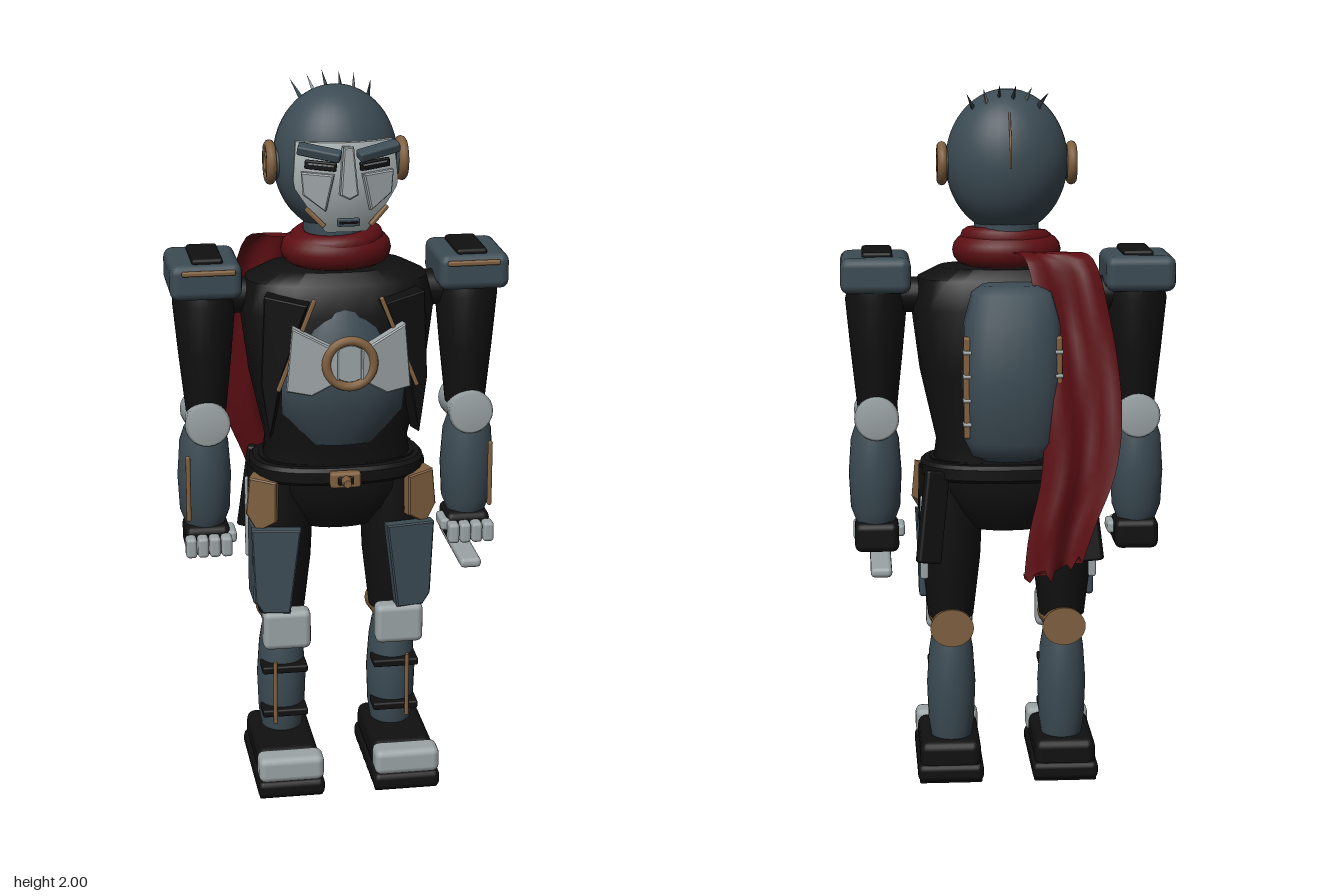
import * as THREE from 'three';
import { toCreasedNormals } from 'three/addons/utils/BufferGeometryUtils.js';
import { RoundedBoxGeometry } from 'three/addons/geometries/RoundedBoxGeometry.js';

const material = (name, color, side = THREE.FrontSide) => {
  const m = new THREE.MeshStandardMaterial({ color, side });
  m.name = name;
  return m;
};

export function createModel() {
  const steel = material('slate steel', 0x3c4b54);
  const black = material('black cloth', 0x101011);
  const pale = material('pale metal', 0x9ca4a6);
  const bronze = material('bronze', 0x80603f);
  const red = material('dark red cloth', 0x5c0e13, THREE.DoubleSide);
  const root = new THREE.Group();
  root.name = 'armouredFigure';

  const add = (name, geo, mat, [x, y, z], rot = [0, 0, 0], parent = root) => {
    const m = new THREE.Mesh(geo, mat);
    m.name = name;
    m.position.set(x, y, z);
    m.rotation.set(...rot);
    parent.add(m);
    return m;
  };
  const box = (w, h, d, r = 0.01) => new RoundedBoxGeometry(w, h, d, 2, r);
  const cyl = (r1, r2, h, seg = 20) => new THREE.CylinderGeometry(r1, r2, h, seg);
  const plate = (pts, depth) => new THREE.ExtrudeGeometry(
    new THREE.Shape(pts.map((p) => new THREE.Vector2(...p))),
    { depth, bevelEnabled: true, bevelThickness: 0.004, bevelSize: 0.004, bevelSegments: 1 });

  // Stacked cross-sections, listed from the top: [y, halfWidth, z centre, halfDepth]
  const loft = (rows, power = 1, seg = 28) => {
    const g = new THREE.CylinderGeometry(1, 1, 1, seg, rows.length - 1);
    const p = g.attributes.position;
    const soft = (v) => Math.sign(v) * Math.abs(v) ** power;
    for (let i = 0; i < p.count; i++) {
      const [y, rx, cz, rz] = rows[Math.round((0.5 - p.getY(i)) * (rows.length - 1))];
      p.setXYZ(i, soft(p.getX(i)) * rx, y, cz + soft(p.getZ(i)) * rz);
    }
    return toCreasedNormals(g, 0.7);
  };

  // Head
  const skull = new THREE.SphereGeometry(1, 32, 24, 0, Math.PI * 2, 0, 2.75).scale(0.17, 0.2, 0.155);
  add('head', skull, steel, [0, 1.78, 0.025]);
  add('neck', cyl(0.09, 0.09, 0.16), steel, [0, 1.55, 0.03]);
  add('headSeam', new THREE.TorusGeometry(0.166, 0.003, 6, 24, 1), bronze, [0, 1.79, 0.02], [0, Math.PI / 2, -0.1]);
  // Crest of small swept blades
  for (let i = 0; i < 6; i++) {
    const x = -0.09 + i * 0.038;
    const blade = new THREE.ConeGeometry(0.02, 0.13, 4).scale(0.5, 1, 1);
    add('crestBlade', blade, i % 3 === 1 ? pale : steel,
      [x, 1.965 - x * x * 2.5, -0.05 + (i % 2) * 0.015], [-1.05, 0, 0.25 - i * 0.1]);
  }

  // Floating face mask: a bowed slab narrowing to the chin
  const mask = new THREE.BoxGeometry(1, 1, 0.016, 12, 12, 1);
  const mp = mask.attributes.position;
  for (let i = 0; i < mp.count; i++) {
    const v = mp.getY(i) + 0.5;
    const x = mp.getX(i) * 2 * (0.055 + 0.09 * Math.min(1, v * 1.9) - 0.015 * v * v);
    mp.setXYZ(i, x, 1.62 + v * 0.24, 0.237 + mp.getZ(i) - x * x * 2 - (v - 0.5) ** 2 * 0.12);
  }
  add('faceMask', toCreasedNormals(mask, 0.7), pale, [0, 0, 0]);
  add('nose', plate([[-0.01, 0.13], [0.01, 0.13], [0.02, 0.01], [0, 0], [-0.02, 0.01]], 0.03), pale, [0, 1.72, 0.24], [-0.12, 0, 0]);
  add('mouth', box(0.06, 0.022, 0.012, 0.004), steel, [0, 1.655, 0.25]);
  add('mouthSlit', new THREE.BoxGeometry(0.05, 0.005, 0.006), black, [0, 1.655, 0.257]);

  // Everything that repeats on both sides
  for (const s of [1, -1]) {
    const side = new THREE.Group();
    side.name = s > 0 ? 'leftSide' : 'rightSide';
    root.add(side);
    const put = (name, geo, mat, [x, y, z], [rx, ry, rz] = [0, 0, 0]) =>
      add(name, geo, mat, [x * s, y, z], [rx, ry * s, rz * s], side);
    const mirrored = (pts) => pts.map(([x, y]) => [x * s, y]);

    // Face
    put('brow', box(0.115, 0.026, 0.035, 0.006), steel, [0.078, 1.845, 0.255], [0.3, 0.3, 0.1]);
    put('eye', box(0.085, 0.024, 0.012, 0.004), black, [0.072, 1.806, 0.237], [0, 0.28, 0.08]);
    put('eyeLid', box(0.07, 0.005, 0.008, 0.002), pale, [0.072, 1.809, 0.243], [0, 0.28, 0.08]);
    put('cheekPlate', plate(mirrored([[-0.04, 0.04], [0.04, 0.045], [0.035, -0.01], [-0.02, -0.05]]), 0.012), pale, [0.078, 1.74, 0.232], [0, 0.3, 0]);
    put('jawStrip', box(0.07, 0.012, 0.014, 0.004), bronze, [0.085, 1.665, 0.225], [0, 0.35, 0.75]);

    // Ear disc
    const turn = [0, Math.PI / 2, 0];
    put('earRing', new THREE.TorusGeometry(0.047, 0.014, 10, 24), bronze, [0.18, 1.775, 0.03], turn);
    put('earDisc', cyl(0.045, 0.05, 0.045), steel, [0.165, 1.775, 0.03], [0, 0, -Math.PI / 2]);
    put('earHub', new THREE.TorusGeometry(0.024, 0.006, 8, 20), bronze, [0.188, 1.775, 0.03], turn);

    // Chest plates, lapels and straps
    put('chestPlate', plate(mirrored([[0.05, 1.31], [0.17, 1.37], [0.185, 1.2], [0.12, 1.19], [0.05, 1.23]]), 0.025), pale, [-0.02, 0, 0.275], [0, 0.22, 0]);
    put('lapel', plate(mirrored([[0.1, 1.42], [0.21, 1.44], [0.22, 1.2], [0.2, 1.05], [0.17, 1.22]]), 0.05), black, [0, 0, 0.205], [0, 0.3, 0]);
    put('chestStrap', box(0.012, 0.27, 0.012, 0.004), bronze, [0.14, 1.32, 0.245], [0, 0, 0.38]);

    // Arm
    put('shoulderPad', box(0.195, 0.1, 0.24, 0.025), steel, [0.367, 1.475, 0.03]);
    put('shoulderInset', box(0.085, 0.02, 0.18, 0.009), black, [0.362, 1.528, 0.04]);
    put('shoulderTrim', box(0.145, 0.014, 0.014, 0.005), bronze, [0.362, 1.505, 0.155]);
    put('shoulderJoint', cyl(0.05, 0.05, 0.16), black, [0.26, 1.41, 0.03], [0, 0, Math.PI / 2]);
    put('upperArm', loft([[1.45, 0.075, 0.03, 0.085], [1.4, 0.087, 0.035, 0.095], [1.25, 0.073, 0.04, 0.085], [1.08, 0.055, 0.045, 0.068]]), black, [0.365, 0, 0]);
    put('elbow', new THREE.LatheGeometry([[0, -0.085], [0.055, -0.085], [0.063, -0.075], [0.055, 0], [0.063, 0.075], [0.055, 0.085], [0, 0.085]]
      .map((p) => new THREE.Vector2(...p)), 24), pale, [0.368, 1.068, 0.045], [Math.PI / 2, 0, 0]);
    put('forearm', loft([[1.04, 0.055, 0.045, 0.06], [1.0, 0.068, 0.045, 0.073], [0.9, 0.075, 0.045, 0.077], [0.8, 0.07, 0.045, 0.07], [0.76, 0.055, 0.045, 0.055]]), steel, [0.373, 0, 0]);
    put('forearmStrip', box(0.013, 0.19, 0.013, 0.005), bronze, [0.425, 0.885, 0.122]);
    put('palm', box(0.125, 0.085, 0.13, 0.02), black, [0.37, 0.72, 0.045]);
    put('wrist', cyl(0.048, 0.048, 0.05), black, [0.37, 0.76, 0.045]);
    for (let i = 0; i < 4; i++) {
      put('finger', box(0.031, 0.058, 0.045, 0.01), pale, [0.322 + i * 0.033, 0.715, 0.125]);
    }
    put('thumb', box(0.03, 0.035, 0.08, 0.01), pale, [0.305, 0.73, 0.07]);

    // Belt pouch, back flap and thigh blade
    put('beltPouch', plate(mirrored([[-0.03, 0.06], [0.04, 0.07], [0.05, -0.03], [0.02, -0.08], [-0.03, -0.05]]), 0.05), bronze, [0.2, 0.84, 0.105], [0, 0.35, 0]);
    put('backFlap', box(0.07, 0.26, 0.03, 0.008), black, [0.215, 0.8, -0.1], [0.12, 0.4, 0.12]);
    put('thighBlade', box(0.022, 0.24, 0.018, 0.006), pale, [0.238, 0.73, -0.05]);

    // Leg
    put('thigh', loft([[0.92, 0.09, 0.04, 0.1], [0.8, 0.092, 0.045, 0.1], [0.65, 0.085, 0.045, 0.095], [0.48, 0.065, 0.045, 0.075]]), black, [0.16, 0, 0]);
    put('thighPlate', plate(mirrored([[-0.06, 0.12], [0.07, 0.12], [0.06, -0.09], [0.04, -0.12], [-0.03, -0.12]]), 0.03), steel, [0.18, 0.645, 0.15], [0, 0.15, 0]);
    put('thighSidePlate', box(0.025, 0.23, 0.12, 0.01), steel, [0.238, 0.65, 0.085]);
    put('knee', loft([[0.09, 0.062, 0, 0.055], [0.04, 0.056, 0, 0.05], [-0.04, 0.056, 0, 0.05], [-0.09, 0.062, 0, 0.055]]), bronze, [0.16, 0.46, 0.045], [Math.PI / 2, 0, 0]);
    put('kneePad', box(0.135, 0.115, 0.06, 0.018), pale, [0.16, 0.468, 0.16]);
    put('shin', loft([[0.43, 0.055, 0.04, 0.06], [0.38, 0.063, 0.04, 0.073], [0.28, 0.07, 0.04, 0.08], [0.17, 0.066, 0.04, 0.074], [0.1, 0.055, 0.04, 0.06]]), steel, [0.16, 0, 0]);
    for (const y of [0.325, 0.19]) put('shinStrap', box(0.13, 0.022, 0.07, 0.006), black, [0.16, y, 0.1]);
    put('shinRod', cyl(0.006, 0.006, 0.19, 10), bronze, [0.19, 0.26, 0.14]);

    // Boot
    put('sole', box(0.19, 0.052, 0.37, 0.018), black, [0.165, 0.032, 0.118]);
    put('bootUpper', box(0.175, 0.085, 0.29, 0.025), black, [0.165, 0.08, 0.085]);
    put('toeCap', box(0.185, 0.075, 0.078, 0.02), pale, [0.165, 0.092, 0.266]);
    for (let i = 0; i < 6; i++) put('tread', box(0.18, 0.014, 0.028, 0.005), black, [0.165, 0.007, -0.04 + i * 0.062]);

    // Backpack side rail with loops
    put('packRail', box(0.02, 0.28, 0.028, 0.007), bronze, [0.124, 1.19, -0.232]);
    for (let i = 0; i < 4; i++) put('packLoop', box(0.025, 0.01, 0.04, 0.004), pale, [0.124, 1.09 + i * 0.066, -0.232]);
  }

  // Trunk
  add('torso', loft([[1.49, 0.19, 0.035, 0.11], [1.46, 0.25, 0.035, 0.14], [1.38, 0.268, 0.04, 0.165], [1.2, 0.245, 0.04, 0.165],
    [1.0, 0.2, 0.035, 0.13], [0.92, 0.21, 0.035, 0.13]], 0.8), black, [0, 0, 0]);
  add('breastplate', loft([[1.45, 0.07, 0.1, 0.07], [1.35, 0.13, 0.1, 0.125], [1.2, 0.19, 0.1, 0.148], [1.1, 0.18, 0.09, 0.135],
    [1.01, 0.12, 0.08, 0.1]], 0.9), steel, [0, 0, 0]);
  add('chestRing', new THREE.TorusGeometry(0.064, 0.013, 10, 32), bronze, [0, 1.275, 0.283]);
  add('chestCore', cyl(0.05, 0.055, 0.06, 24), pale, [0, 1.275, 0.255], [Math.PI / 2, 0, 0]);
  add('pelvis', loft([[0.95, 0.22, 0.035, 0.13], [0.86, 0.205, 0.035, 0.13], [0.8, 0.16, 0.035, 0.115], [0.745, 0.1, 0.035, 0.08]], 0.8), black, [0, 0, 0]);
  add('belt', loft([[0.945, 0.235, 0.035, 0.15], [0.935, 0.245, 0.035, 0.16], [0.905, 0.245, 0.035, 0.16], [0.895, 0.235, 0.035, 0.15]], 0.8), black, [0, 0, 0]);
  add('buckle', box(0.085, 0.045, 0.03, 0.008), bronze, [0, 0.92, 0.205]);
  add('buckleInset', box(0.045, 0.024, 0.012, 0.004), black, [0, 0.92, 0.217]);
  add('buckleStud', cyl(0.012, 0.016, 0.03, 6), bronze, [0, 0.92, 0.235], [Math.PI / 2, 0, 0]);

  // Backpack
  add('backpack', loft([[1.46, 0.08, -0.15, 0.05], [1.44, 0.11, -0.165, 0.075], [1.36, 0.132, -0.185, 0.097], [1.2, 0.136, -0.185, 0.1],
    [1.04, 0.132, -0.185, 0.098], [0.995, 0.11, -0.175, 0.08], [0.98, 0.08, -0.17, 0.055]], 0.75), steel, [0, 0, 0]);

  // Scarf: wrapped collar and a long waving tail
  add('scarfCollar', new THREE.TorusGeometry(0.108, 0.044, 14, 36).rotateX(Math.PI / 2).scale(1, 1, 0.8), red, [0, 1.535, 0.035]);
  add('scarfFold', new THREE.TorusGeometry(0.1, 0.03, 10, 32).rotateX(Math.PI / 2).scale(1, 1, 0.85), red, [0, 1.565, 0.04], [0.08, 0, 0.05]);
  const spine = new THREE.CatmullRomCurve3([[-0.08, 1.54, -0.08], [-0.13, 1.53, -0.14], [-0.17, 1.35, -0.19], [-0.19, 1.12, -0.25],
    [-0.175, 0.95, -0.28], [-0.13, 0.8, -0.295], [-0.1, 0.66, -0.3]].map((p) => new THREE.Vector3(...p)));
  const tail = new THREE.PlaneGeometry(1, 1, 8, 28);
  const tp = tail.attributes.position;
  for (let i = 0; i < tp.count; i++) {
    const u = tp.getX(i), t = 0.5 - tp.getY(i);
    const c = spine.getPoint(t);
    const hem = t > 0.99 ? Math.abs(Math.sin(u * 9)) * 0.05 : 0;
    tp.setXYZ(i, c.x + u * (0.15 + 0.06 * Math.sin(t * Math.PI)), c.y + hem - u * 0.05 * t, c.z + 0.022 * Math.sin(u * 9 + t * 4) * Math.min(1, t * 3));
  }
  tail.computeVertexNormals();
  add('scarfTail', tail, red, [0, 0, 0]);

  // Short blade held under the left hand
  add('handBlade', box(0.06, 0.028, 0.32, 0.012), pale, [0.36, 0.645, 0.04]);
  return root;
}
